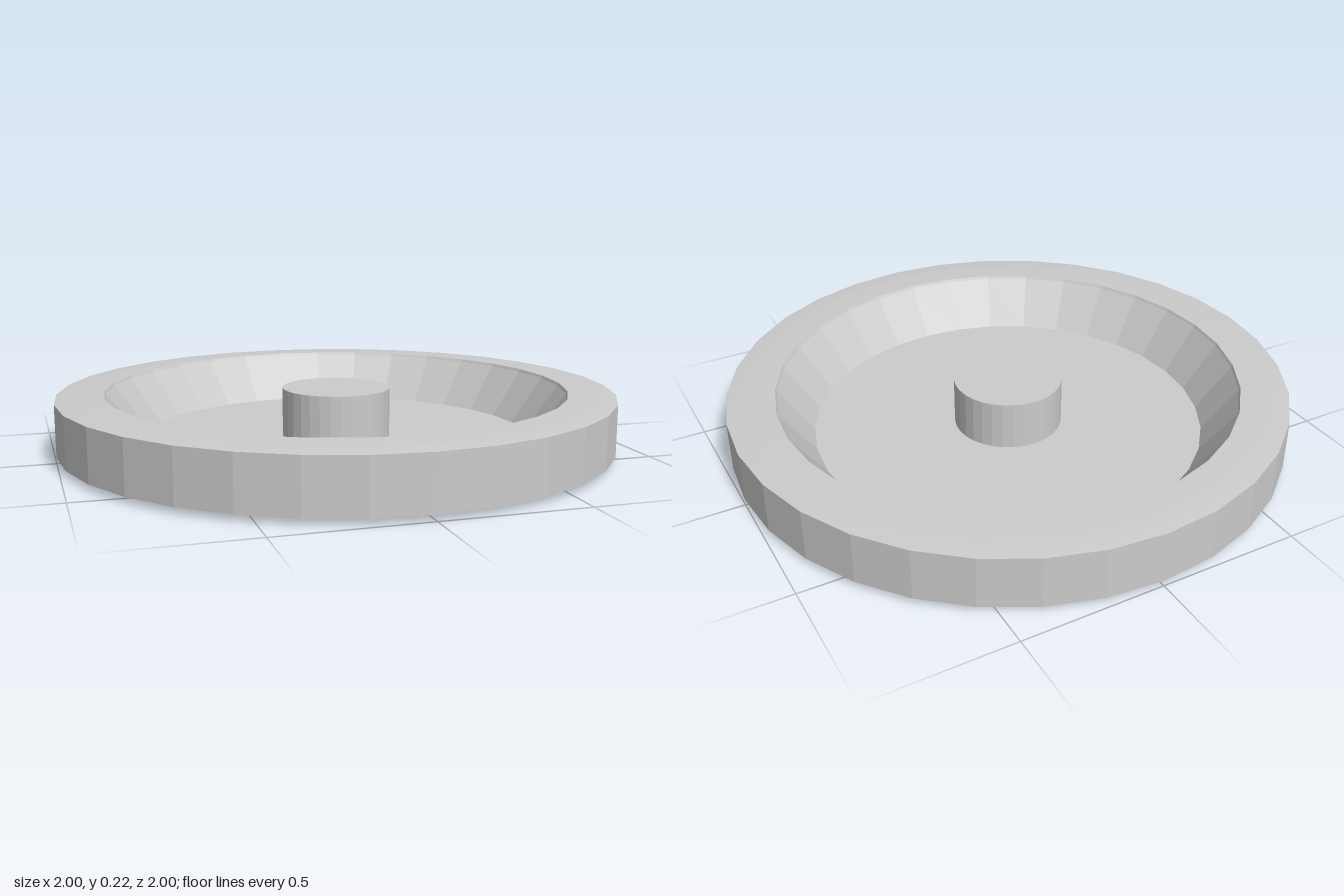
import * as THREE from 'three';
import { toCreasedNormals } from 'three/addons/utils/BufferGeometryUtils.js';

const SIDES = 32;
const CREASE = 0.1; // keeps wall facets flat, blends the shallow domes

export function createModel() {
  const group = new THREE.Group();
  group.name = 'dishWithHub';
  const material = new THREE.MeshStandardMaterial({ color: 0xcccccc });

  const add = (name, geometry) => {
    const mesh = new THREE.Mesh(toCreasedNormals(geometry, CREASE), material);
    mesh.name = name;
    group.add(mesh);
    return mesh;
  };

  // Dish: slightly domed underside, outer wall, crowned rim, small lip, sloped inner wall, floor
  const underside = [0, 0.25, 0.5, 0.75, 1].map((r) => [r, 0.02 * r * r]);
  const profile = [
    ...underside,
    [1, 0.205],
    [0.96, 0.21],
    [0.91, 0.213],
    [0.83, 0.215],
    [0.825, 0.205],
    [0.705, 0.04],
    [0, 0.04],
  ].map(([r, y]) => new THREE.Vector2(r, y));
  add('dish', new THREE.LatheGeometry(profile, SIDES));

  // Central hub, rising from the floor to rim height
  const hub = add('hub', new THREE.CylinderGeometry(0.195, 0.195, 0.18, SIDES));
  hub.position.y = 0.125;

  return group;
}
